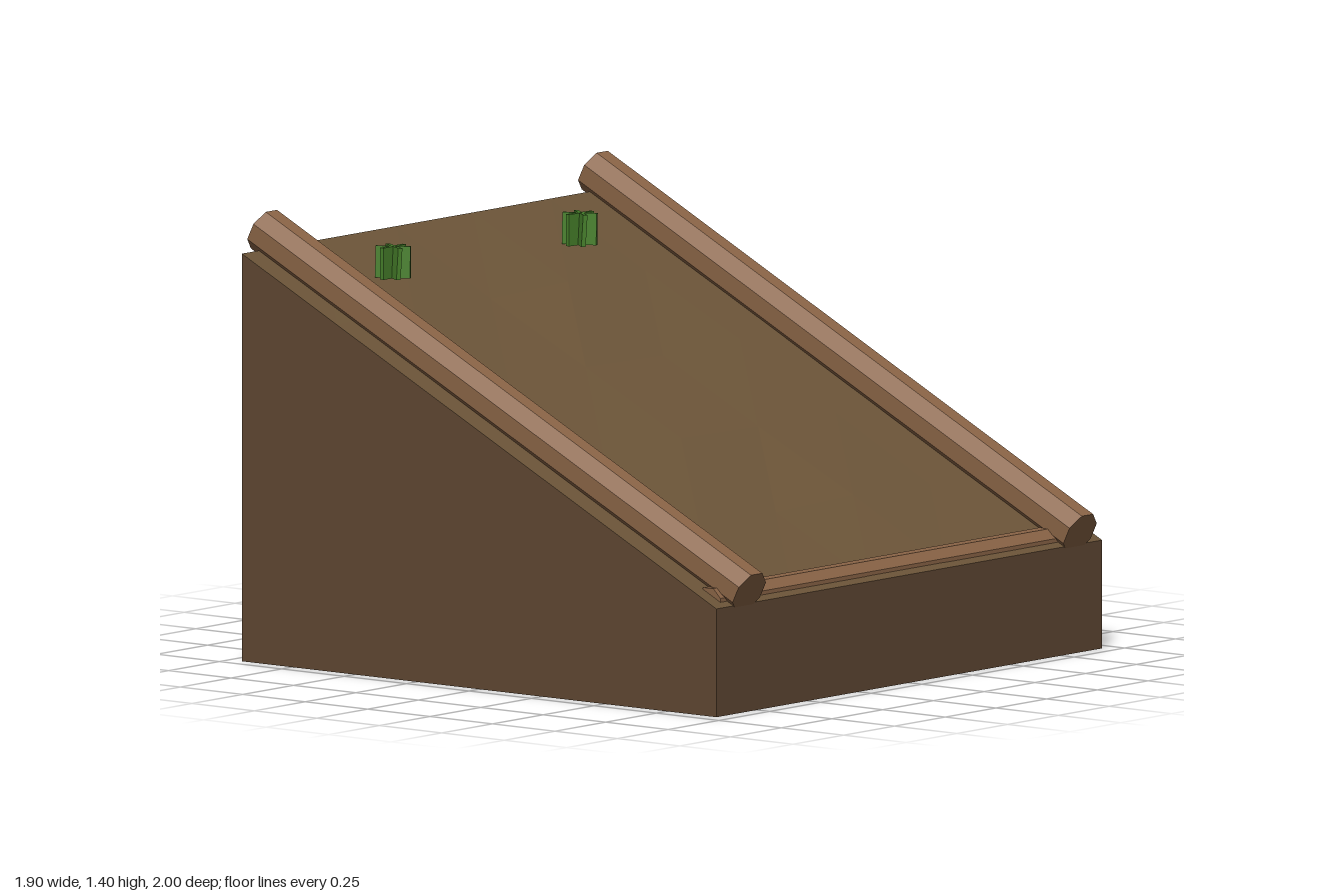
import * as THREE from 'three';

const HALF = 0.95, LOW = 0.34, HIGH = 1.28;
const SLOPE = Math.atan2(HIGH - LOW, 2 * HALF);
const rampY = (z) => LOW + (HIGH - LOW) * (HALF - z) / (2 * HALF);

const flat = (color, side = THREE.FrontSide) =>
  new THREE.MeshStandardMaterial({ color, side, flatShading: true });
const earth = flat(0x5f4732, THREE.DoubleSide);
const soil = flat(0x6b5438, THREE.DoubleSide);
const wood = flat(0x8a6446);
const leaf = flat(0x467f2a, THREE.DoubleSide);

function add(parent, name, geometry, material) {
  const mesh = new THREE.Mesh(geometry, material);
  mesh.name = name;
  parent.add(mesh);
  return mesh;
}

// Four upright walls, open underneath
function wallGeometry() {
  const corners = [[-HALF, HALF], [HALF, HALF], [HALF, -HALF], [-HALF, -HALF]];
  const pos = [], index = [];
  corners.forEach(([x, z], i) => {
    pos.push(x, 0, z, x, rampY(z), z);
    const a = 2 * i, b = 2 * ((i + 1) % 4);
    index.push(a, b, b + 1, a, b + 1, a + 1);
  });
  const g = new THREE.BufferGeometry();
  g.setAttribute('position', new THREE.Float32BufferAttribute(pos, 3));
  g.setIndex(index);
  const out = g.toNonIndexed();
  out.computeVertexNormals();
  return out;
}

// Sloping ground with faint unevenness away from the rim
function slopeGeometry() {
  const g = new THREE.PlaneGeometry(2 * HALF, 2 * HALF, 5, 5).rotateX(-Math.PI / 2);
  const p = g.attributes.position;
  for (let i = 0; i < p.count; i++) {
    const x = p.getX(i), z = p.getZ(i);
    const inside = Math.max(Math.abs(x), Math.abs(z)) < HALF - 0.01;
    p.setY(i, rampY(z) + (inside ? 0.006 * Math.sin(7 * x + 3) * Math.cos(5 * z + x) : 0));
  }
  g.computeVertexNormals();
  return g;
}

// Eight-sided log lying along z, flat face up; size is the distance to a face
const logGeometry = (size, length) =>
  new THREE.CylinderGeometry(size / Math.cos(Math.PI / 8), size / Math.cos(Math.PI / 8), length, 8)
    .rotateY(Math.PI / 8).rotateX(Math.PI / 2);

// Grass tuft: three thin blades crossed in a star
function grassTuft(x, z, turn) {
  const tuft = new THREE.Group();
  tuft.name = 'grassTuft';
  for (let i = 0; i < 3; i++) {
    const blade = add(tuft, 'grassBlade', new THREE.BoxGeometry(0.11, 0.1, 0.014), leaf);
    blade.rotation.set(i ? 0.06 : 0, turn + i * Math.PI / 3, 0, 'YXZ');
  }
  tuft.position.set(x, 1.23, z);
  return tuft;
}

export function createModel() {
  const model = new THREE.Group();
  model.name = 'earthRamp';
  add(model, 'earthWalls', wallGeometry(), earth);
  add(model, 'slope', slopeGeometry(), soil);

  // Side rails running up the slope
  for (const s of [-1, 1]) {
    const rail = add(model, s > 0 ? 'leftLog' : 'rightLog', logGeometry(0.067, 2.168), wood);
    rail.position.set(s * 0.815, 0.859, 0);
    rail.rotation.x = SLOPE;
  }

  // Half-buried log across the lower edge
  const sill = add(model, 'frontLog', logGeometry(0.048, 1.8), wood);
  sill.rotation.y = Math.PI / 2;
  sill.position.set(0, 0.345, 0.877);

  model.add(grassTuft(-0.525, -0.69, 0), grassTuft(0.395, -0.69, -0.1));
  return model;
}
